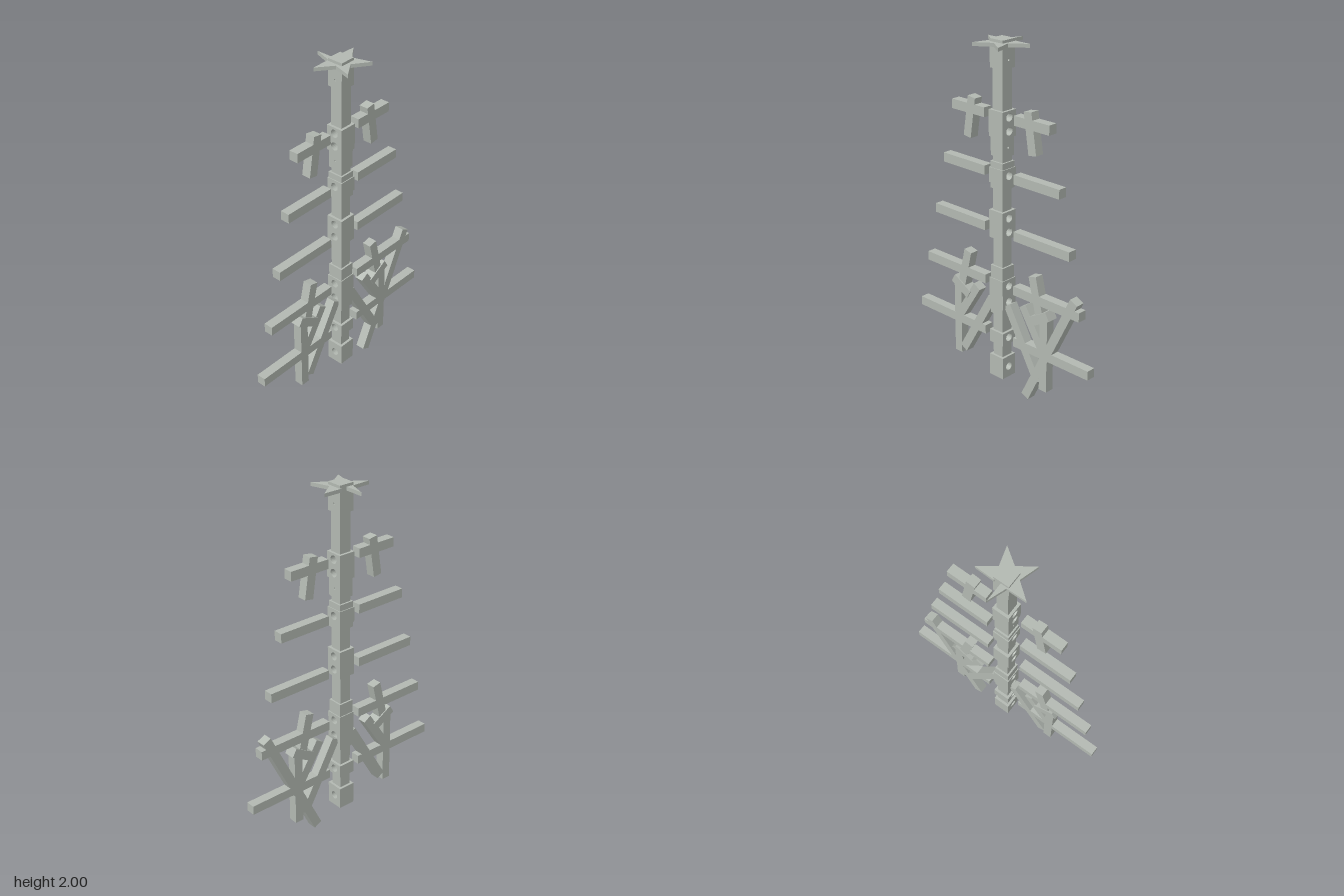
import * as THREE from 'three';

const Z = 0.012; // depth position of trunk and branches
const BAR = 0.053; // branch thickness

export function createModel() {
  const model = new THREE.Group();
  const grey = new THREE.MeshStandardMaterial({ color: 0xb2b8b1 });
  grey.name = 'grey';

  const add = (name, geometry, x, y, z = Z) => {
    const mesh = new THREE.Mesh(geometry, grey);
    mesh.name = name;
    mesh.position.set(x, y, z);
    model.add(mesh);
    return mesh;
  };

  // Square bar between two points in the front plane
  const bar = (name, x1, y1, x2, y2, depth = BAR) => {
    const length = Math.hypot(x2 - x1, y2 - y1);
    const mesh = add(name, new THREE.BoxGeometry(length, BAR, depth), (x1 + x2) / 2, (y1 + y2) / 2);
    mesh.rotation.z = Math.atan2(y2 - y1, x2 - x1);
  };

  // Trunk collar with round sockets drilled from side to side
  const collar = (y0, y1, half, holes) => {
    const shape = new THREE.Shape();
    shape.moveTo(-half, y0).lineTo(half, y0).lineTo(half, y1).lineTo(-half, y1).closePath();
    for (const [y, radius] of holes) {
      const hole = new THREE.Path();
      hole.absarc(0, y, radius, 0, Math.PI * 2, true);
      shape.holes.push(hole);
    }
    const geometry = new THREE.ExtrudeGeometry(shape, { depth: half * 2, bevelEnabled: false, curveSegments: 10 });
    geometry.translate(0, 0, -half).rotateY(Math.PI / 2);
    add('trunkCollar', geometry, 0, 0);
  };

  const R = 0.023;
  const collars = [
    [0.07, 0.2, 0.05, [[0.135, R]]],
    [0.28, 0.355, 0.05, [[0.318, R]]],
    [0.46, 0.505, 0.045, []],
    [0.505, 0.58, 0.05, [[0.54, R]]],
    [0.58, 0.675, 0.05, [[0.635, R]]],
    [0.675, 0.75, 0.045, []],
    [0.915, 1.075, 0.05, [[0.955, R], [1.035, R]]],
    [1.2, 1.23, 0.045, []],
    [1.23, 1.315, 0.05, [[1.275, R]]],
    [1.315, 1.35, 0.045, []],
    [1.38, 1.485, 0.043, [[1.43, 0.006]]],
    [1.485, 1.63, 0.05, [[1.595, R], [1.52, R]]],
    [1.85, 2.0, 0.045, [[1.895, 0.006]]],
  ];
  collars.forEach((c) => collar(...c));

  // Thinner trunk sections between collars
  for (let i = 1; i < collars.length; i++) {
    const from = collars[i - 1][1];
    const to = collars[i][0];
    if (to - from > 0.01) {
      add('trunkSection', new THREE.BoxGeometry(0.07, to - from, 0.07), 0, (from + to) / 2);
    }
  }

  // Mirrored branches, twigs and braces
  const branches = [[1.595, 0.347], [1.275, 0.42], [0.955, 0.495], [0.635, 0.57], [0.32, 0.64]];
  for (const s of [1, -1]) {
    for (const [y, end] of branches) bar('branch', s * 0.106, y, s * end, y);
    bar('upperTwig', s * 0.2, 1.66, s * 0.235, 1.435);
    bar('lowerTwig', s * 0.243, 0.762, s * 0.3, 0.52);
    bar('post', s * 0.327, 0.1, s * 0.327, 0.56);
    bar('longBrace', s * 0.06, 0.53, s * 0.285, 0.137);
    bar('shortBrace', s * 0.175, 0.565, s * 0.33, 0.32);
    bar('crossBlock', s * 0.235, 0.495, s * 0.357, 0.565, 0.065);
  }

  // Single long slanted bar on the left side
  bar('slantedBar', 0.532, 0.708, 0.196, 0.013);

  // Flat five-pointed star near the top
  const star = new THREE.Shape();
  for (let i = 0; i < 10; i++) {
    const r = i % 2 ? 0.062 : 0.154;
    const a = Math.PI / 2 + (i * Math.PI) / 5;
    star.lineTo(r * Math.cos(a), r * Math.sin(a));
  }
  star.closePath();
  const starGeometry = new THREE.ExtrudeGeometry(star, { depth: 0.02, bevelEnabled: false });
  starGeometry.rotateX(-Math.PI / 2);
  add('star', starGeometry, 0, 1.965, 0.012);

  return model;
}
